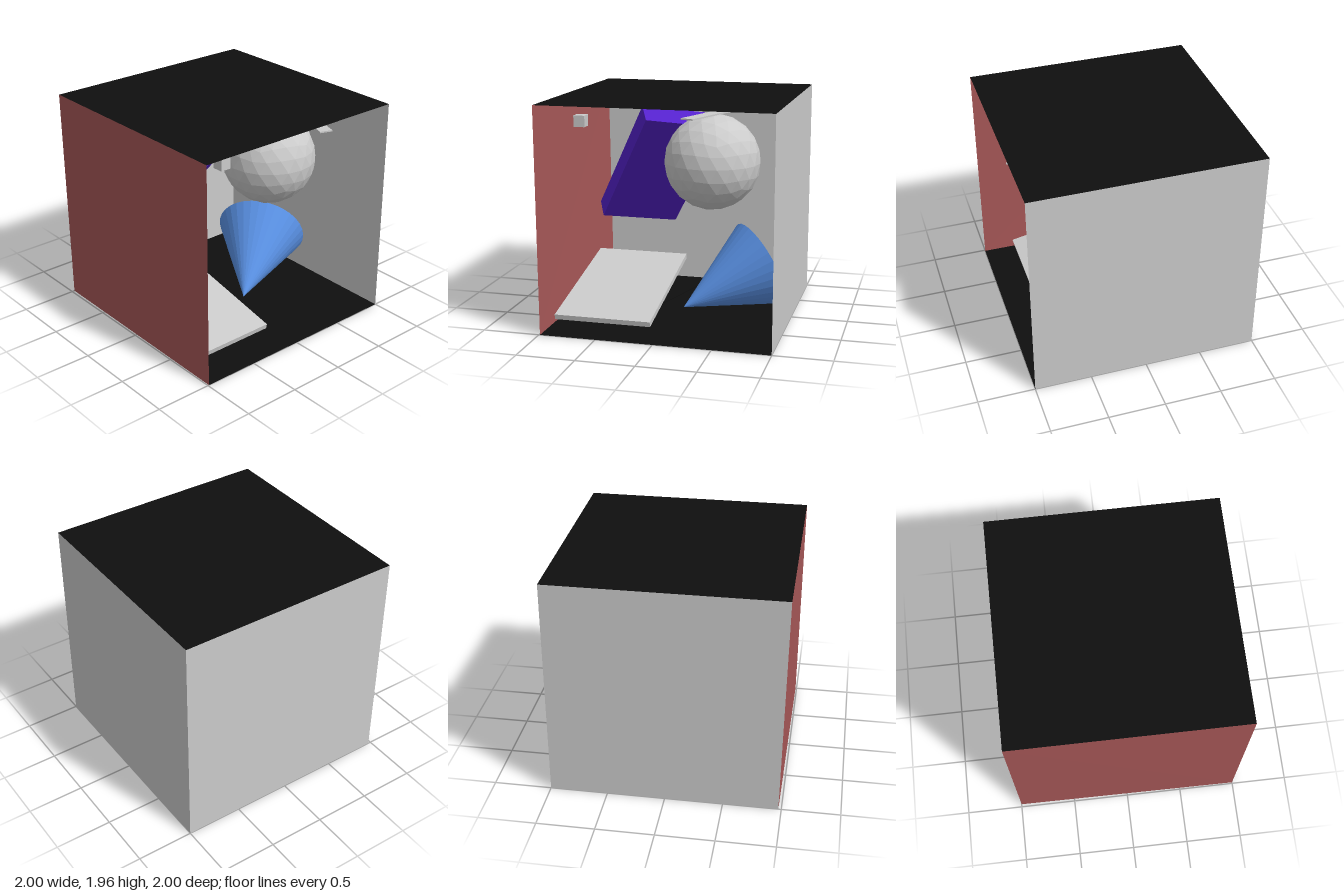
import * as THREE from 'three';

const H = 1.96; // room height
const GREY = 0xcccccc, BLACK = 0x0f0f0f, RED = 0xa85858, PURPLE = 0x5522cc, BLUE = 0x5a92e6;

function material(color, side = THREE.FrontSide) {
  return new THREE.MeshStandardMaterial({ color, side, flatShading: true });
}

// One thin wall panel from four corners in loop order
function panel(name, color, corners) {
  const geo = new THREE.BufferGeometry();
  geo.setAttribute('position', new THREE.Float32BufferAttribute(corners.flat(), 3));
  geo.setIndex([0, 1, 2, 0, 2, 3]);
  geo.computeVertexNormals();
  const mesh = new THREE.Mesh(geo, material(color, THREE.DoubleSide));
  mesh.name = name;
  return mesh;
}

function solid(name, color, geo, position) {
  const mesh = new THREE.Mesh(geo, material(color));
  mesh.name = name;
  mesh.position.set(...position);
  return mesh;
}

function block(name, color, size, position, rotation = [0, 0, 0]) {
  const mesh = solid(name, color, new THREE.BoxGeometry(...size), position);
  mesh.rotation.set(...rotation);
  return mesh;
}

export function createModel() {
  const model = new THREE.Group();
  model.name = 'roomWithShapes';

  // Room shell, open at the front; the red wall leans slightly inwards at its foot
  const footBack = [-0.975, 0, -1], footFront = [-0.99, 0, 1];
  const room = new THREE.Group();
  room.name = 'room';
  room.add(
    panel('floor', BLACK, [footFront, [1, 0, 1], [1, 0, -1], footBack]),
    panel('ceiling', BLACK, [[-1, H, 1], [-1, H, -1], [1, H, -1], [1, H, 1]]),
    panel('backWall', GREY, [footBack, [1, 0, -1], [1, H, -1], [-1, H, -1]]),
    panel('greyWall', GREY, [[1, 0, -1], [1, 0, 1], [1, H, 1], [1, H, -1]]),
    panel('redWall', RED, [footFront, footBack, [-1, H, -1], [-1, H, 1]])
  );
  model.add(room);

  // Large tilted block, oriented by its width and length directions
  const u = new THREE.Vector3(0.58, -0.105, -0.411).normalize();
  const v = new THREE.Vector3(0.58, 0.995, 0.564).normalize();
  const n = u.clone().cross(v).normalize();
  v.crossVectors(n, u);
  const slanted = block('tiltedBlock', PURPLE, [0.72, 1.28, 0.17], [-0.25, 1.28, -0.16]);
  slanted.quaternion.setFromRotationMatrix(new THREE.Matrix4().makeBasis(u, v, n));
  model.add(slanted);

  // Faceted ball with a vertex at the top
  const ball = solid('ball', GREY, new THREE.IcosahedronGeometry(0.414, 3), [0.33, 1.42, 0.24]);
  ball.rotation.z = -0.5536;
  model.add(ball);

  // Cone lying over, its tip towards the front
  const tip = new THREE.Vector3(0.07, 0.085, 0.22);
  const base = new THREE.Vector3(0.676, 0.412, -0.215);
  const axis = tip.clone().sub(base);
  const middle = tip.clone().add(base).multiplyScalar(0.5);
  const cone = solid('cone', BLUE, new THREE.ConeGeometry(0.41, axis.length(), 32), middle.toArray());
  cone.quaternion.setFromUnitVectors(new THREE.Vector3(0, 1, 0), axis.normalize());
  model.add(cone);

  // Sloping slab, floor board, ceiling plank and small cube
  model.add(
    block('slopingSlab', GREY, [0.86, 0.046, 1.307], [-0.53, 0.205, 0.08], [0.204, 0, 0]),
    block('floorBoard', BLACK, [0.635, 0.01, 1.3], [-0.435, 0.04, -0.2], [0, -0.28, 0]),
    block('ceilingPlank', GREY, [0.111, 0.012, 1.438], [0.52, 1.886, 0.293], [0, -0.336, 0]),
    block('smallCube', GREY, [0.095, 0.095, 0.095], [-0.663, 1.815, 0.78])
  );
  return model;
}
